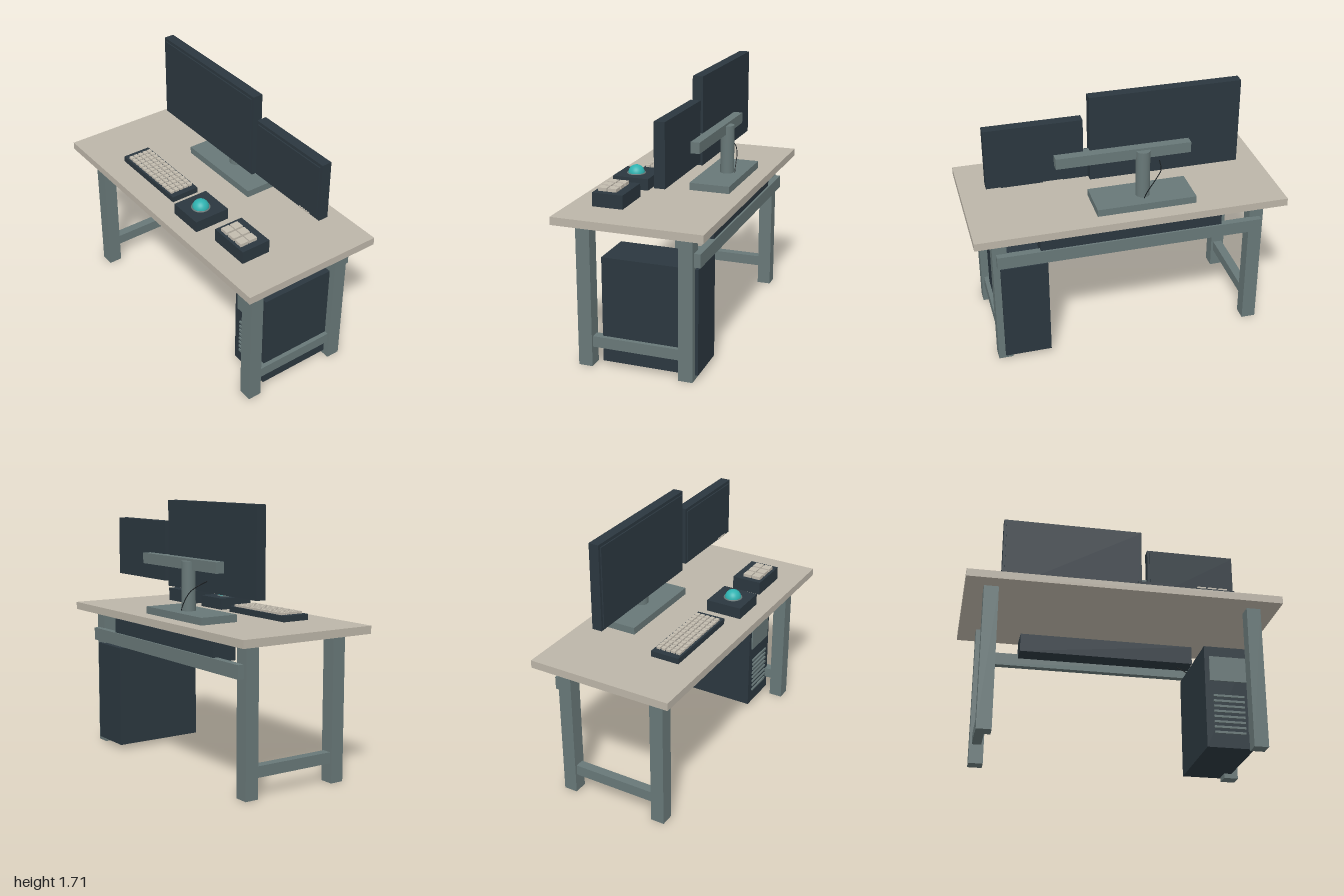
import * as THREE from 'three';

const mat = (name, color) => {
  const m = new THREE.MeshStandardMaterial({ color });
  m.name = name;
  return m;
};

export function createModel() {
  const root = new THREE.Group();
  root.name = 'workstation';
  const desk = mat('warm grey desktop', 0xbcb5a8);
  const steel = mat('grey steel', 0x687878);
  const dark = mat('charcoal', 0x2b373f);
  const cream = mat('pale keys', 0xc2bbae);
  const teal = mat('teal', 0x2fb2b0);
  const black = mat('black cable', 0x14191c);

  const group = (name) => {
    const g = new THREE.Group();
    g.name = name;
    root.add(g);
    return g;
  };
  const add = (parent, name, geo, material, x = 0, y = 0, z = 0) => {
    const m = new THREE.Mesh(geo, material);
    m.name = name;
    m.position.set(x, y, z);
    parent.add(m);
    return m;
  };
  // Box given by its lower and upper limits on each axis
  const box = (parent, name, material, x0, x1, y0, y1, z0, z1) =>
    add(parent, name, new THREE.BoxGeometry(x1 - x0, y1 - y0, z1 - z0), material,
      (x0 + x1) / 2, (y0 + y1) / 2, (z0 + z1) / 2);
  const cable = (parent, points) => {
    const curve = new THREE.CatmullRomCurve3(points.map((p) => new THREE.Vector3(...p)));
    add(parent, 'cable', new THREE.TubeGeometry(curve, 24, 0.003, 6), black);
  };

  // Table
  const table = group('table');
  box(table, 'desktop', desk, -1, 1, 0.93, 0.98, -0.475, 0.475);
  for (const s of [-1, 1]) {
    for (const z of [-0.325, 0.325]) {
      add(table, 'leg', new THREE.BoxGeometry(0.092, 0.93, 0.09), steel, s * 0.838, 0.465, z);
    }
    add(table, 'sideRail', new THREE.BoxGeometry(0.06, 0.07, 0.58), steel, s * 0.838, 0.16, 0);
  }
  box(table, 'backBeam', steel, -0.86, 0.86, 0.725, 0.81, -0.41, -0.365);
  box(table, 'cableTray', dark, -0.59, 0.585, 0.78, 0.905, -0.398, -0.237);

  // Computer tower with front panel and vent bars
  const tower = group('tower');
  box(tower, 'towerCase', dark, 0.54, 0.84, 0.03, 0.705, -0.39, 0.225);
  box(tower, 'frontPanel', steel, 0.57, 0.81, 0.47, 0.635, 0.225, 0.234);
  for (let i = 0; i < 8; i++) {
    add(tower, 'ventBar', new THREE.BoxGeometry(0.2, 0.014, 0.01), steel, 0.69, 0.128 + i * 0.0345, 0.23);
  }

  // Monitors: case and a thin raised screen
  const monitor = (name, x0, x1, y0, y1) => {
    const g = group(name);
    box(g, 'monitorCase', dark, x0, x1, y0, y1, -0.197, -0.131);
    box(g, 'screen', dark, x0 + 0.017, x1 - 0.017, y0 + 0.017, y1 - 0.02, -0.131, -0.123);
    return g;
  };
  monitor('mainMonitor', -0.743, 0.22, 1.15, 1.71);
  const side = monitor('sideMonitor', 0.26, 0.868, 1.18, 1.57);
  for (let i = 0; i < 5; i++) {
    add(side, 'monitorButton', new THREE.BoxGeometry(0.01, 0.009, 0.008), cream, 0.705 + i * 0.02, 1.194, -0.12);
  }

  // Shared monitor stand
  const stand = group('monitorStand');
  box(stand, 'standBase', steel, -0.425, 0.215, 0.98, 1.027, -0.37, -0.107);
  add(stand, 'post', new THREE.CylinderGeometry(0.045, 0.045, 0.315, 24), steel, -0.105, 1.183, -0.253);
  box(stand, 'crossArm', steel, -0.415, 0.445, 1.285, 1.355, -0.256, -0.165);

  // Cables
  const cables = group('cables');
  cable(cables, [[-0.23, 1.22, -0.195], [-0.22, 1.19, -0.265], [-0.18, 1.15, -0.295],
    [-0.11, 1.05, -0.306], [-0.09, 0.98, -0.306], [-0.09, 0.89, -0.306]]);
  cable(cables, [[0.45, 0.8, -0.32], [0.545, 0.76, -0.32], [0.65, 0.7, -0.32]]);

  // Keyboard
  const keyboard = group('keyboard');
  box(keyboard, 'keyboardBody', dark, -0.6, -0.02, 0.98, 1.018, 0.122, 0.312);
  const key = new THREE.BoxGeometry(0.03, 0.016, 0.025);
  for (let r = 0; r < 5; r++) {
    for (let c = 0; c < 13; c++) {
      add(keyboard, 'key', key, cream, -0.544 + c * 0.0392, 1.024, 0.148 + r * 0.0345);
    }
  }

  // Trackball
  const trackball = group('trackball');
  box(trackball, 'trackballBody', dark, 0.085, 0.322, 0.98, 1.055, 0.13, 0.37);
  add(trackball, 'ball', new THREE.SphereGeometry(0.053, 32, 20), teal, 0.206, 1.056, 0.255);
  add(trackball, 'ballRing', new THREE.TorusGeometry(0.056, 0.005, 8, 32).rotateX(Math.PI / 2),
    steel, 0.206, 1.056, 0.255);

  // Six-key pad
  const keypad = group('keypad');
  box(keypad, 'keypadBody', dark, 0.455, 0.732, 0.98, 1.067, 0.127, 0.325);
  for (let r = 0; r < 2; r++) {
    for (let c = 0; c < 3; c++) {
      add(keypad, 'padKey', new THREE.BoxGeometry(0.056, 0.024, 0.056), cream,
        0.519 + c * 0.07, 1.076, 0.214 + r * 0.064);
    }
  }
  return root;
}
